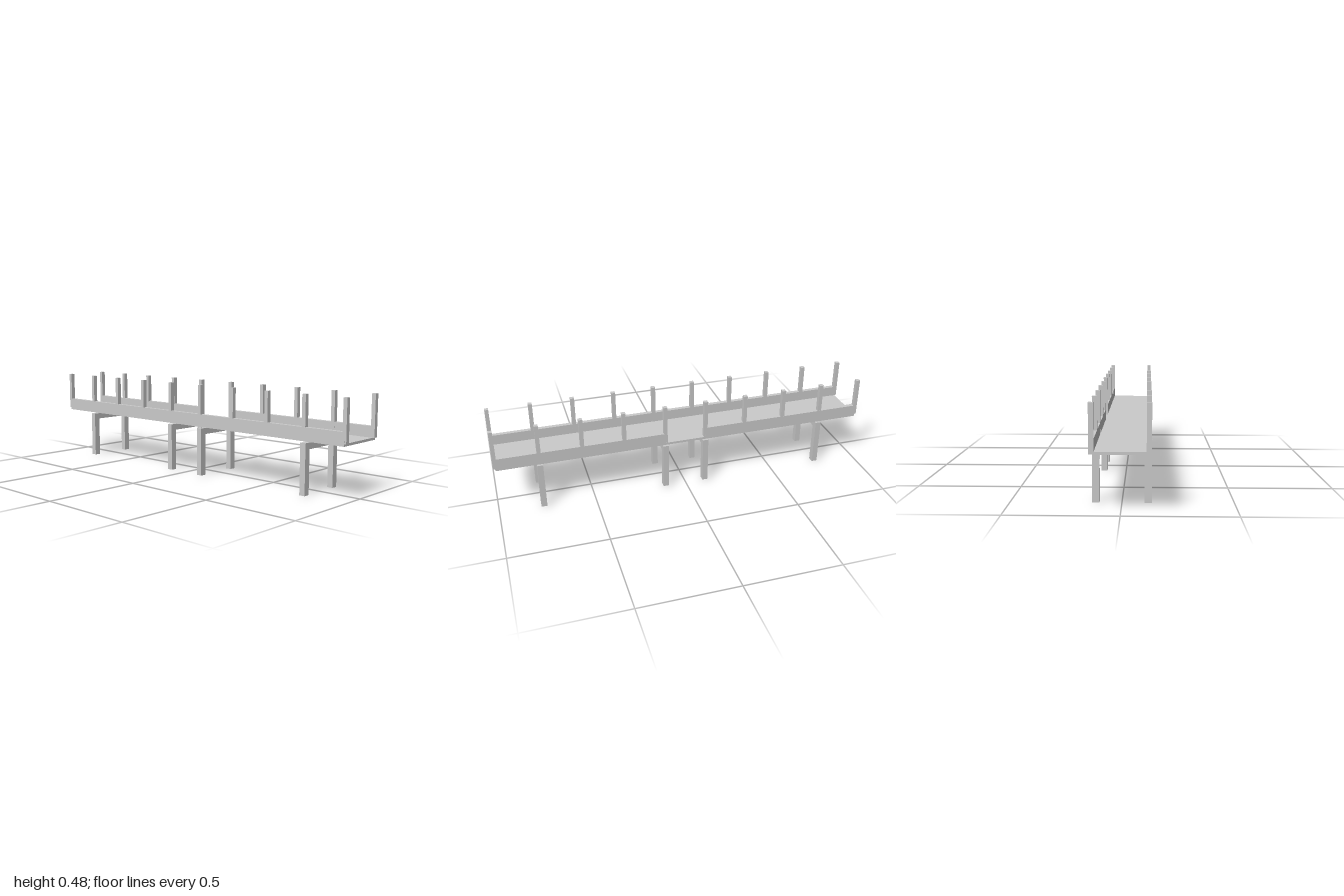
import * as THREE from 'three';

const material = new THREE.MeshStandardMaterial({ color: 0xcccccc, flatShading: true });

// Box given by its lower and upper limits on each axis
function block(name, [x0, x1], [y0, y1], [z0, z1]) {
  const mesh = new THREE.Mesh(new THREE.BoxGeometry(x1 - x0, y1 - y0, z1 - z0), material);
  mesh.position.set((x0 + x1) / 2, (y0 + y1) / 2, (z0 + z1) / 2);
  mesh.name = name;
  return mesh;
}

// Portal frame: a plain U-shaped outline extruded along x
function trestle(x) {
  const outer = 0.133, inner = 0.1, top = 0.25, under = 0.218, width = 0.03;
  const outline = new THREE.Shape([
    [-outer, 0], [-inner, 0], [-inner, under], [inner, under],
    [inner, 0], [outer, 0], [outer, top], [-outer, top],
  ].map(([a, b]) => new THREE.Vector2(a, b)));
  const geometry = new THREE.ExtrudeGeometry(outline, { depth: width, bevelEnabled: false });
  geometry.translate(0, 0, -width / 2).rotateY(Math.PI / 2);
  const mesh = new THREE.Mesh(geometry, material);
  mesh.position.x = x;
  mesh.name = 'trestle';
  return mesh;
}

export function createModel() {
  const model = new THREE.Group();
  model.name = 'walkway';
  const half = 0.99, bottom = 0.258, floor = 0.27, rim = 0.324;
  const outer = 0.132, inner = 0.11, spacing = 0.22, gap = spacing / 2;

  // Deck floor
  model.add(block('deck', [-half, half], [bottom, floor], [-outer, outer]));

  // Side boards: whole along the front, open in the middle of the back
  model.add(block('frontBoard', [-half, half], [floor, rim], [inner, outer]));
  model.add(block('backBoardRight', [-half, -gap], [floor, rim], [-outer, -inner]));
  model.add(block('backBoardLeft', [gap, half], [floor, rim], [-outer, -inner]));

  // Upright posts, slightly inside the outer face of the boards
  for (let i = 0; i < 10; i++) {
    const x = -half + i * spacing;
    for (const [z0, z1] of [[inner - 0.0005, outer - 0.0005], [-outer + 0.0005, -inner + 0.0005]]) {
      model.add(block('post', [x - 0.01, x + 0.01], [floor, 0.477], [z0, z1]));
    }
  }

  // Supports below the deck
  for (const x of [-0.77, -0.11, 0.11, 0.77]) model.add(trestle(x));

  return model;
}
